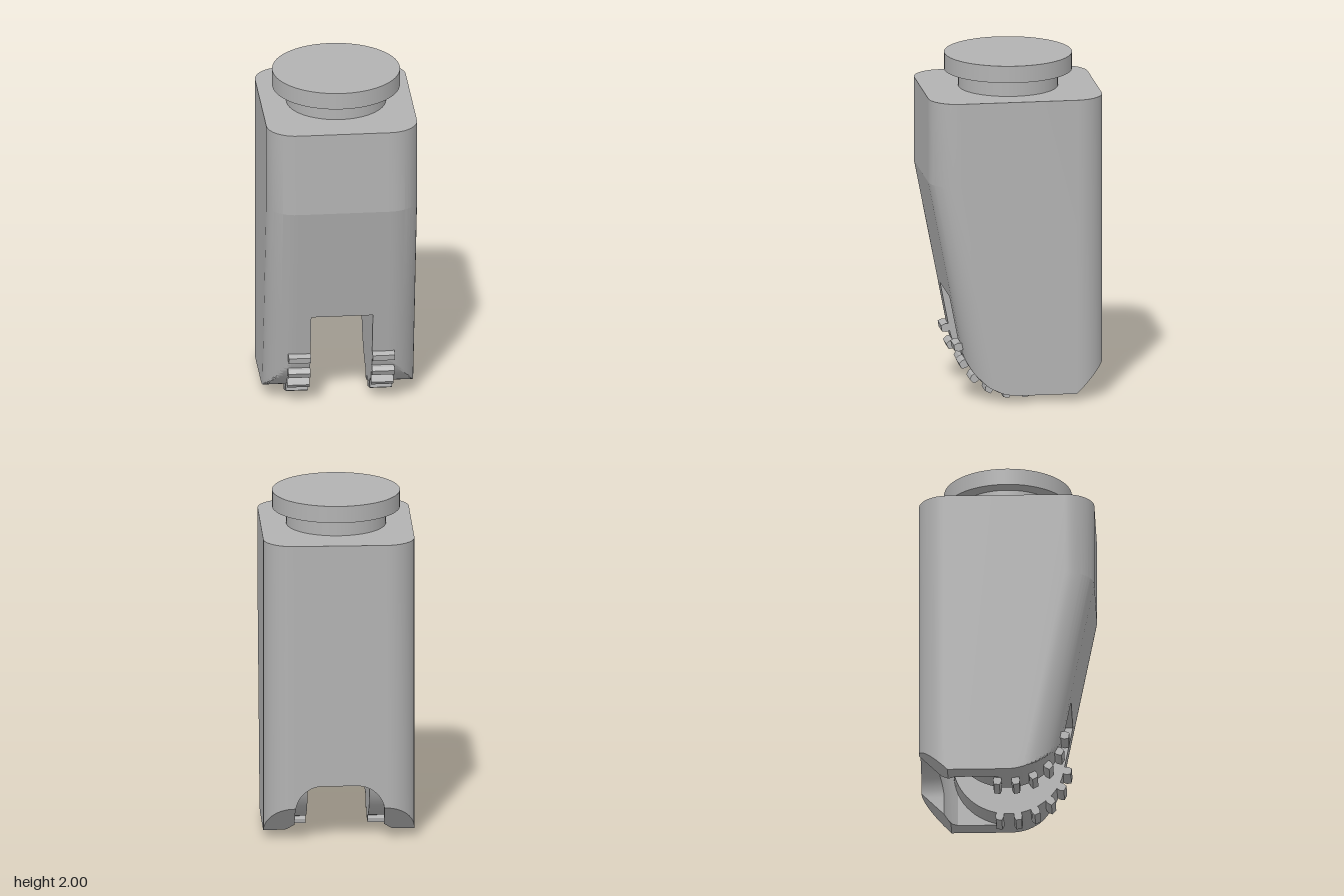
import * as THREE from 'three';
import { mergeGeometries, toCreasedNormals } from 'three/addons/utils/BufferGeometryUtils.js';

const HALF_X = 0.44, HALF_Z = 0.51, CORNER = 0.17;   // rounded plan of the body
const TOP = 1.8, FLOOR = 0.045, CEILING = 0.59;      // heights
const AXLE_Y = 0.37, WHEEL_R = 0.325;                // toothed wheels
const SLOT = 0.18, CAVITY = 0.335;                   // half widths of the cut-outs

// How far the front and back faces are drawn in at x by the rounded corners
function inset(x) {
  const d = Math.max(0, Math.abs(x) - (HALF_X - CORNER));
  return Math.min(0.169, CORNER - Math.sqrt(Math.max(0, CORNER * CORNER - d * d)));
}

// Front edge as [z, y], going down: upright, sloping, then round the wheel
function frontEdge(x, lowest) {
  const i = inset(x);
  const slope = y => HALF_Z - i - 0.194 * Math.max(0, 1.3 - y);
  const points = [TOP, 1.3, CEILING].map(y => [slope(y), y]);
  if (lowest >= CEILING) return points;
  for (let k = 0; k <= 20; k++) {
    const a = THREE.MathUtils.degToRad(79 * (1 - k / 20));
    const y = AXLE_Y - WHEEL_R * Math.cos(a);
    points.push([Math.min(slope(y), WHEEL_R * Math.sin(a)), y]);
  }
  return points;
}

// Back wall: scooped inside in two bays, with an arched opening and a chamfered foot
function backEdge(x) {
  const ax = Math.abs(x), i = inset(x);
  const inner = -0.2 - Math.sqrt(0.21 ** 2 - (ax - 0.15) ** 2);
  const d = Math.max(0, ax - 0.1);
  const arch = d <= 0.1601 ? 0.19 + Math.sqrt(Math.max(0, 0.16 ** 2 - d * d)) : FLOOR;
  const y = Math.max(arch, FLOOR - (inner + 0.34));
  const outer = Math.max(-HALF_Z + i, -0.34 - (y - FLOOR));
  return [[inner, CEILING], [inner, y], [outer, y],
    [-HALF_Z + i, Math.max(y + 0.0005, FLOOR + CORNER - i)], [-HALF_Z + i, TOP]];
}

const slotLoop = x => [...frontEdge(x, CEILING), ...backEdge(x)];

function wheelLoop(x) {
  const rear = [];
  for (let k = 1; k <= 24; k++) {
    const a = THREE.MathUtils.degToRad(132.6 * k / 24);
    rear.push([-WHEEL_R * Math.sin(a), AXLE_Y - WHEEL_R * Math.cos(a)]);
  }
  return [...frontEdge(x, 0), ...rear, ...backEdge(x)];
}

function sideLoop(x) {
  const i = inset(x);
  return [...frontEdge(x, 0), [-0.34, FLOOR],
    [-HALF_Z + i, FLOOR + CORNER - i], [-HALF_Z + i, TOP]];
}

// Skin the loops at the given x stations and cap both ends
function slab(xs, loopAt) {
  const loops = xs.map(loopAt), n = loops[0].length, pos = [], index = [];
  loops.forEach((loop, s) => loop.forEach(([z, y]) => pos.push(xs[s], y, z)));
  for (let s = 0; s < xs.length - 1; s++) {
    for (let k = 0; k < n; k++) {
      const a = s * n + k, b = s * n + (k + 1) % n;
      index.push(a, b, b + n, a, b + n, a + n);
    }
  }
  const last = (xs.length - 1) * n;
  const cap = loop => THREE.ShapeUtils.triangulateShape(loop.map(([z, y]) => new THREE.Vector2(-z, y)), []);
  cap(loops[0]).forEach(([a, b, c]) => index.push(a, c, b));
  cap(loops[loops.length - 1]).forEach(([a, b, c]) => index.push(last + a, last + b, last + c));
  const g = new THREE.BufferGeometry();
  g.setAttribute('position', new THREE.Float32BufferAttribute(pos, 3));
  g.setIndex(index);
  return g;
}

export function createModel() {
  const model = new THREE.Group();
  const grey = new THREE.MeshStandardMaterial({ color: 0xb2b2b2 });
  grey.name = 'plain grey';
  const add = (name, geometry, parent = model) => {
    const mesh = new THREE.Mesh(geometry, grey);
    mesh.name = name;
    parent.add(mesh);
    return mesh;
  };

  // Body, in slabs across x
  const slotXs = Array.from({ length: 25 }, (_, k) => SLOT * (k / 12 - 1));
  const corner = k => HALF_X - CORNER + CORNER * Math.sin(THREE.MathUtils.degToRad(7.5 * k));
  const wheelXs = [SLOT, 0.2, 0.22, 0.235, 0.245, 0.253, 0.258, 0.26, 0.2605,
    corner(0), corner(1), corner(2), CAVITY];
  const sideXs = [CAVITY];
  for (let k = 4; k <= 12; k++) sideXs.push(corner(k));
  const mirrored = xs => xs.map(x => -x).reverse();
  const slabs = [slab(slotXs, slotLoop)];
  for (const flip of [xs => xs, mirrored]) {
    slabs.push(slab(flip(wheelXs), wheelLoop), slab(flip(sideXs), sideLoop));
  }
  add('body', toCreasedNormals(mergeGeometries(slabs), 0.17));

  // Teeth of the two wheels
  const tooth = new THREE.Shape([[-0.018, 0], [0.018, 0], [0.025, -0.035], [0.017, -0.06],
    [-0.017, -0.06], [-0.025, -0.035]].map(([u, v]) => new THREE.Vector2(u, v)));
  const toothGeometry = new THREE.ExtrudeGeometry(tooth, { depth: 0.13, bevelEnabled: false });
  toothGeometry.translate(0, -0.308, -0.065).rotateY(-Math.PI / 2);
  for (const side of [-1, 1]) {
    const teeth = new THREE.Group();
    teeth.name = side > 0 ? 'leftWheelTeeth' : 'rightWheelTeeth';
    teeth.position.set(side * 0.245, AXLE_Y, 0);
    for (let k = 0; k < 6; k++) {
      add('tooth', toothGeometry, teeth).rotation.x = -THREE.MathUtils.degToRad(-9 + 18 * k);
    }
    model.add(teeth);
  }

  // Neck and round cap
  add('neck', new THREE.CylinderGeometry(0.29, 0.29, 0.12, 64)).position.y = 1.85;
  add('cap', new THREE.CylinderGeometry(0.372, 0.372, 0.1, 64)).position.y = 1.95;
  return model;
}
